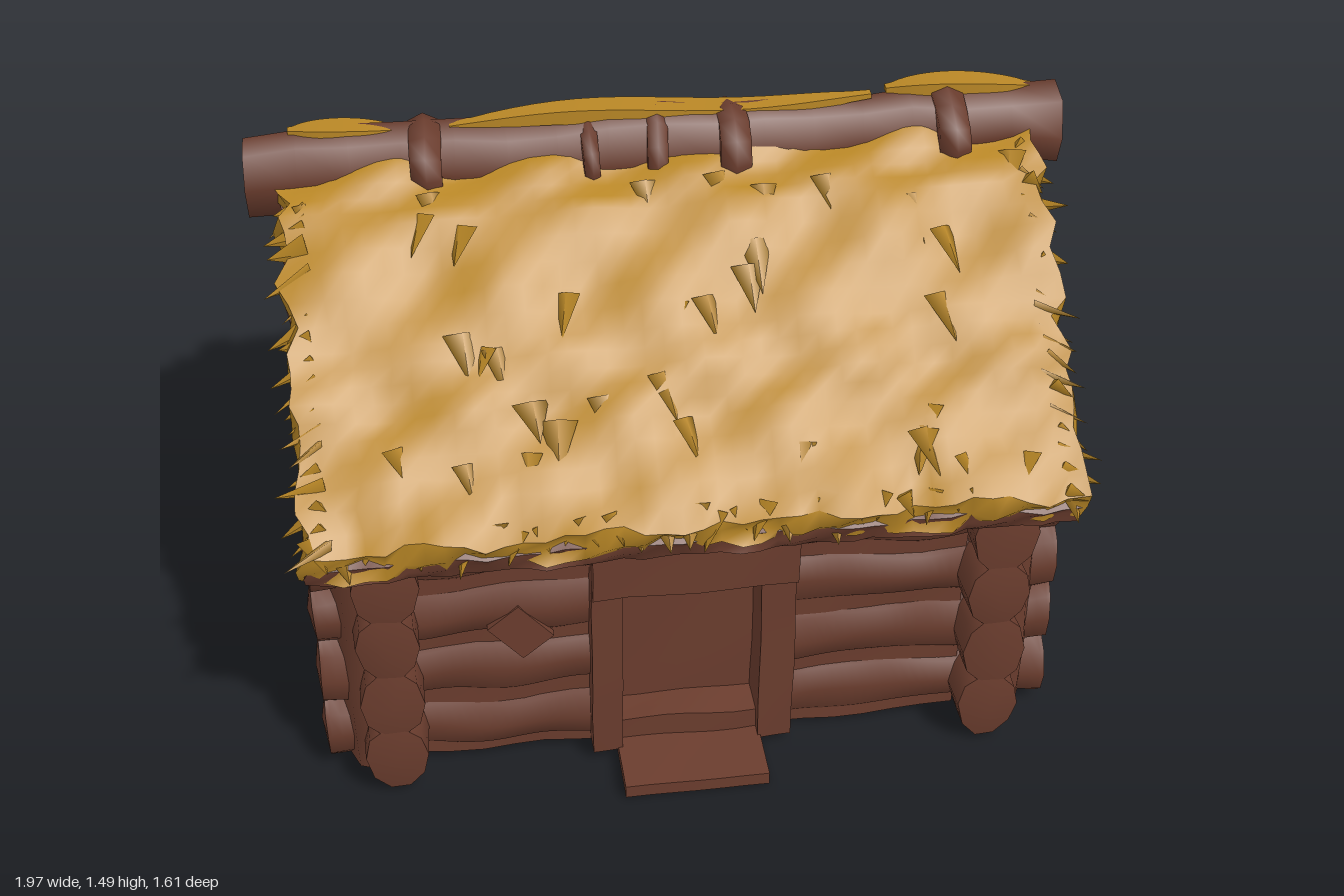
import * as THREE from 'three';
import { mergeGeometries, mergeVertices } from 'three/addons/utils/BufferGeometryUtils.js';

let seed = 7;
const rand = (a = 0, b = 1) => {
  seed = (seed * 16807) % 2147483647;
  return a + (b - a) * (seed / 2147483647);
};

// Smooth noise in -1..1 that depends only on position
const noise = (x, y, z) =>
  (Math.sin(x * 9.1 + y * 5.3 + z * 3.7) + Math.sin(x * 17.3 - y * 11.9 + z * 13.1 + 1.3) +
   Math.sin(x * 4.7 + y * 21.1 - z * 8.3 + 2.1)) / 3;

// Moves every vertex by a rule, keeping the geometry's hard edges
function reshape(geo, rule) {
  geo.deleteAttribute('uv');
  const g = mergeVertices(geo);
  const p = g.attributes.position, v = new THREE.Vector3();
  for (let i = 0; i < p.count; i++) {
    rule(v.fromBufferAttribute(p, i));
    p.setXYZ(i, v.x, v.y, v.z);
  }
  g.computeVertexNormals();
  return g;
}

const wobble = (geo, amount) => reshape(geo, (v) => {
  const { x, y, z } = v;
  v.x += amount * 0.5 * noise(y, z, x);
  v.y += amount * noise(x, y, z);
  v.z += amount * noise(z + 3, x, y);
});

// Roof section: fraction t down the slope, h from underside to top
const TOP = [[0.04, 1.405], [0.2, 1.325], [0.42, 1.125], [0.57, 0.98], [0.775, 0.81]];
const UNDER = [[0.03, 1.27], [0.2, 1.15], [0.4, 1.0], [0.56, 0.87], [0.745, 0.705]];
function roofPoint(t, h) {
  const f = THREE.MathUtils.clamp(t, 0, 1) * 4, i = Math.min(3, Math.floor(f)), k = f - i;
  const at = (line, c) => line[i][c] + (line[i + 1][c] - line[i][c]) * k;
  const mix = (c) => at(UNDER, c) + (at(TOP, c) - at(UNDER, c)) * h;
  return { z: mix(0), y: mix(1) };
}

// Roof layer between heights h0 and h1; lift raises its underside towards the ridge
function roofLayer(width, h0, h1, lift, rough, ragged) {
  return reshape(new THREE.BoxGeometry(width, 1, 1, 40, 2, 20), (v) => {
    const { x, y, z } = v;
    const low = h0 + lift * (0.5 - z) + 0.6 * lift * noise(z * 2, x > 0 ? 1 : 2, x * 0.8);
    const p = roofPoint(z + 0.5, low + (h1 - low) * (y + 0.5));
    const n = noise(x * 1.4, z * 1.2 + x * 0.4, y);
    const edge = Math.max(0, z - 0.3) * 5;
    v.x = x + Math.sign(x) * ragged * noise(z * 5, y * 2, x) * (Math.abs(x) / (width / 2)) ** 6;
    v.y = p.y + rough * n * (y > 0 ? 1 : 0.4);
    v.z = p.z + rough * n * 0.6 + edge * ragged * noise(x * 3.1, y, 2);
  });
}

// A flat pointed straw tuft from a point along a direction
function tuft(x, y, z, dir, length, width) {
  const g = new THREE.ConeGeometry(width, length, 4).translate(0, length * 0.3, 0);
  g.scale(1, 1, 0.3);
  g.applyQuaternion(new THREE.Quaternion().setFromUnitVectors(new THREE.Vector3(0, 1, 0), dir.normalize()));
  return g.translate(x, y, z);
}

function strawTufts() {
  const list = [], V = (x, y, z) => new THREE.Vector3(x, y, z);
  for (const s of [-1, 1]) {
    for (let i = 0; i < 20; i++) { // gable edges
      const t = 0.1 + 0.88 * (i / 19), p = roofPoint(t, rand(0.65, 0.95));
      list.push(tuft(s * 0.87, p.y, p.z, V(s, rand(-0.8, 0), rand(0, 0.8)), rand(0.06, 0.13), rand(0.03, 0.05)));
    }
  }
  for (let i = 0; i < 32; i++) { // eave
    const p = roofPoint(0.96, rand(0.5, 0.9));
    list.push(tuft(-0.88 + 1.76 * i / 31, p.y, p.z, V(rand(-0.4, 0.4), rand(-1, -0.6), 0.6), rand(0.05, 0.11), rand(0.03, 0.05)));
  }
  for (let i = 0; i < 36; i++) { // loose straw on the slope
    const p = roofPoint(rand(0.15, 0.95), 0.97);
    list.push(tuft(rand(-0.85, 0.85), p.y, p.z, V(rand(-0.35, 0.35), -0.62, 0.72), rand(0.08, 0.14), rand(0.03, 0.05)));
  }
  return mergeGeometries(list);
}

export function createModel() {
  const wood = new THREE.MeshStandardMaterial({ color: 0x6b3d2e });
  wood.name = 'brown wood';
  const straw = new THREE.MeshStandardMaterial({ color: 0xb98726 });
  straw.name = 'golden straw';

  const model = new THREE.Group();
  model.name = 'logHut';
  const add = (name, geo, mat = wood, parent = model) => {
    const m = new THREE.Mesh(geo, mat);
    m.name = name;
    parent.add(m);
    return m;
  };
  const box = (name, w, h, d, x, y, z, amount = 0.008) =>
    add(name, wobble(new THREE.BoxGeometry(w, h, d, 6, 6, 4).translate(x, y, z), amount));

  // Log along x from a to b, with domed ends
  const log = (a, b) => {
    const half = (b - a) / 2;
    const g = new THREE.CylinderGeometry(1, 1, b - a, 10, 28).rotateZ(Math.PI / 2);
    return reshape(g, (v) => {
      const end = half - Math.abs(v.x) < 0.01;
      const rim = end && Math.hypot(v.y, v.z) > 0.5;
      v.set(v.x - (rim ? Math.sign(v.x) * 0.015 : 0) + (a + b) / 2, v.y * 0.105, v.z * 0.078);
    });
  };

  // Solid core with smooth gables and closed soffits
  const gable = new THREE.Shape();
  [[-0.53, 0.02], [0.53, 0.02], [0.53, 0.71], [0.73, 0.72], [0.03, 1.3], [-0.03, 1.3], [-0.73, 0.72], [-0.53, 0.71]]
    .forEach(([x, y], i) => (i ? gable.lineTo(x, y) : gable.moveTo(x, y)));
  add('wallCore', new THREE.ExtrudeGeometry(gable, { depth: 1.58, bevelEnabled: false })
    .rotateY(Math.PI / 2).translate(-0.79, 0, 0));
  // Packing between the logs
  for (const s of [-1, 1]) box('frontPacking', 0.46, 0.7, 0.1, s * 0.45, 0.37, 0.56, 0.012);
  box('backPacking', 1.36, 0.7, 0.1, 0, 0.37, -0.56, 0.012);

  // Crossing wall logs
  for (const y of [0.12, 0.3, 0.48, 0.66]) {
    for (const [a, b] of [[-0.92, -0.2], [0.2, 0.92]])
      add('frontLog', wobble(log(a, b).translate(0, y, 0.555), 0.014));
    add('backLog', wobble(log(-0.92, 0.92).translate(0, y, -0.555), 0.014));
    for (const s of [-1, 1])
      add('sideLog', wobble(log(-0.735, 0.75).rotateY(Math.PI / 2).translate(s * 0.737, y, 0), 0.014));
  }
  // Posts in the corner notches
  for (const sx of [-1, 1])
    for (const sz of [-1, 1])
      add('cornerPost', wobble(new THREE.CylinderGeometry(0.09, 0.09, 0.72, 8, 8)
        .translate(sx * 0.77, 0.39, sz * 0.585), 0.014));

  // Doorway
  box('doorPanel', 0.36, 0.52, 0.03, -0.01, 0.29, 0.53, 0.004);
  box('doorPostLeft', 0.085, 0.66, 0.13, 0.205, 0.36, 0.605);
  box('doorPostRight', 0.075, 0.66, 0.13, -0.215, 0.36, 0.605);
  box('doorLintel', 0.5, 0.15, 0.15, 0, 0.61, 0.61);
  box('threshold', 0.35, 0.08, 0.09, -0.01, 0.06, 0.59);
  box('doorStep', 0.36, 0.035, 0.26, -0.01, 0.02, 0.68, 0.003);
  // Small diamond patch on the front wall
  add('wallPatch', new THREE.BoxGeometry(0.1, 0.13, 0.02).rotateZ(0.7).translate(-0.42, 0.42, 0.63));

  // Roof slopes, front and back
  const boards = roofLayer(1.8, 0, 0.55, 0, 0.01, 0.015);
  const thatch = roofLayer(1.81, 0.25, 1, 0.25, 0.02, 0.03);
  for (const [name, turn] of [['frontRoof', 0], ['backRoof', Math.PI]]) {
    const slope = new THREE.Group();
    slope.name = name;
    slope.rotation.y = turn;
    add('roofBoards', boards, wood, slope);
    add('thatch', thatch, straw, slope);
    add('strawTufts', strawTufts(), straw, slope);
    model.add(slope);
  }

  // Ridge log with a wedge under each end
  const ridge = new THREE.CylinderGeometry(1, 1, 1.97, 7, 16).rotateZ(Math.PI / 2);
  ridge.scale(1, 0.105, 0.085).translate(0, 1.37, 0);
  add('ridgeLog', wobble(ridge, 0.014));
  for (const s of [-1, 1])
    add('ridgeWedge', new THREE.CylinderGeometry(0.075, 0.05, 0.14, 4).rotateY(Math.PI / 4)
      .translate(s * 0.85, 1.25, 0));

  // Bindings round the ridge
  for (const [x, thick] of [[-0.56, 0.034], [-0.17, 0.018], [-0.01, 0.022], [0.17, 0.034], [0.71, 0.036]]) {
    const ring = new THREE.TorusGeometry(0.09, thick, 6, 12).rotateY(Math.PI / 2);
    add('ridgeBinding', wobble(ring.scale(1.25, 0.92, 1.05).translate(x, 1.37, 0), 0.014));
  }

  // Straw strips lying on the ridge
  for (const [a, b, z] of [[-0.88, -0.62, -0.015], [-0.5, 0.52, -0.005], [0.56, 0.93, -0.025]]) {
    const strip = new THREE.BoxGeometry(b - a, 0.04, 0.07, 20, 1, 2).translate((a + b) / 2, 0, 0);
    add('ridgeStraw', reshape(strip, (v) => {
      const { x } = v;
      const taper = Math.sqrt(Math.max(0.1, Math.sin(Math.PI * (x - a) / (b - a))));
      v.z = v.z * taper + z;
      v.y = v.y * taper + 1.465 + 0.012 * Math.sin(x * 7.4 + 3.2);
    }), straw);
  }

  return model;
}
